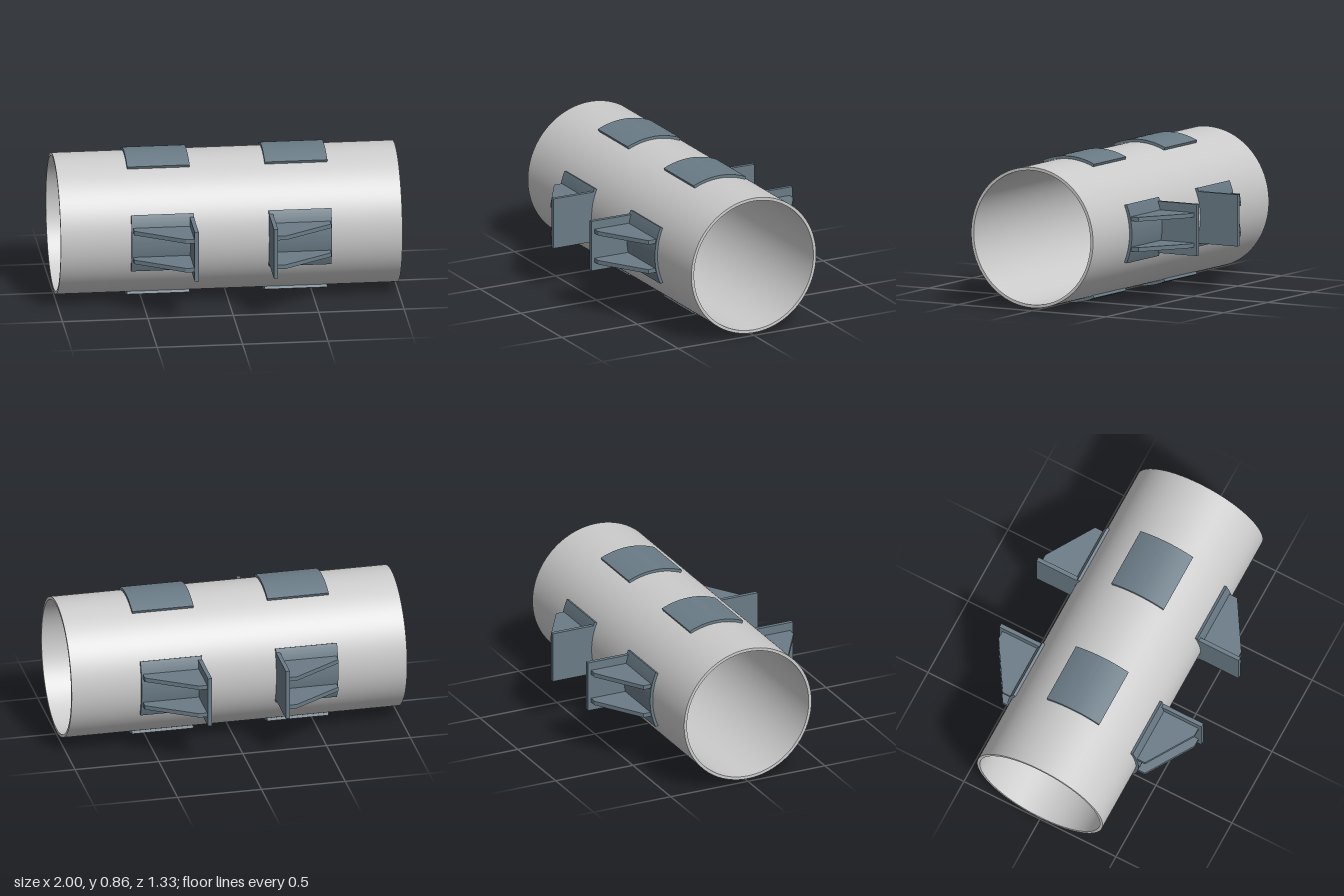
import * as THREE from 'three';
import { toCreasedNormals } from 'three/addons/utils/BufferGeometryUtils.js';

const AXIS_Y = 0.43;                      // height of the pipe axis
const R_IN = 0.395, R_OUT = 0.413, R_PAD = 0.43;
const PAD_X0 = 0.22, PAD_LEN = 0.366, PAD_HALF = 0.415;

const pipeMat = new THREE.MeshStandardMaterial({ color: 0xcccccc });
const steelMat = new THREE.MeshStandardMaterial({ color: 0x6a7b86 });

// Extrudes a (z, y) profile along x, starting at x0
function extrudeX(shape, x0, length, curveSegments) {
  const geo = new THREE.ExtrudeGeometry(shape, { depth: length, bevelEnabled: false, curveSegments });
  geo.rotateY(-Math.PI / 2).translate(x0 + length, 0, 0);
  return toCreasedNormals(geo, 0.5);
}

function addMesh(parent, name, geo, mat) {
  const mesh = new THREE.Mesh(geo, mat);
  mesh.name = name;
  parent.add(mesh);
  return mesh;
}

// Curved saddle plate lying on the pipe
function padGeometry() {
  const s = new THREE.Shape();
  s.absarc(0, 0, R_PAD, -PAD_HALF, PAD_HALF, false);
  s.absarc(0, 0, R_OUT - 0.001, PAD_HALF, -PAD_HALF, true);
  s.closePath();
  return extrudeX(s, PAD_X0, PAD_LEN, 20);
}

// Upright stop plate with its inner edge cut to the pipe's curve
function stopGeometry() {
  const half = 0.152, r = 0.426, a = Math.asin(half / r);
  const s = new THREE.Shape();
  s.moveTo(0.665, -half);
  s.lineTo(0.665, half);
  s.absarc(0, 0, r, a, -a, true);
  s.closePath();
  return extrudeX(s, PAD_X0, 0.024, 20);
}

// Tapered rib bracing the stop plate
function gussetGeometry(y) {
  const t = 0.025;
  const s = new THREE.Shape([
    [0.242, 0.41], [0.577, 0.41], [0.577, 0.468], [0.292, 0.645], [0.242, 0.645],
  ].map(([x, z]) => new THREE.Vector2(x, z)));
  const geo = new THREE.ExtrudeGeometry(s, { depth: t, bevelEnabled: false });
  return geo.rotateX(Math.PI / 2).translate(0, y + t / 2, 0);
}

export function createModel() {
  const model = new THREE.Group();
  model.name = 'pipeWithBrackets';
  const body = new THREE.Group();
  body.name = 'pipeAssembly';
  body.position.y = AXIS_Y;
  model.add(body);

  // Hollow pipe
  const ring = new THREE.Shape();
  ring.absarc(0, 0, R_OUT, 0, Math.PI * 2, false);
  const bore = new THREE.Path();
  bore.absarc(0, 0, R_IN, 0, Math.PI * 2, true);
  ring.holes.push(bore);
  addMesh(body, 'pipe', extrudeX(ring, -1, 2, 96), pipeMat);

  // Pads at four quarters and both halves; the front and back ones carry brackets
  const pad = padGeometry(), stop = stopGeometry();
  const gussets = [-0.089, 0.089].map(gussetGeometry);
  ['front', 'bottom', 'back', 'top'].forEach((side, i) => {
    for (const half of ['Left', 'Right']) {
      const support = new THREE.Group();
      support.name = side + half + 'Support';
      support.rotation.set(i * Math.PI / 2, 0, half === 'Left' ? 0 : Math.PI);
      body.add(support);
      addMesh(support, 'pad', pad, steelMat);
      if (i % 2 === 0) {
        addMesh(support, 'stopPlate', stop, steelMat);
        gussets.forEach((g) => addMesh(support, 'gusset', g, steelMat));
      }
    }
  });
  return model;
}
